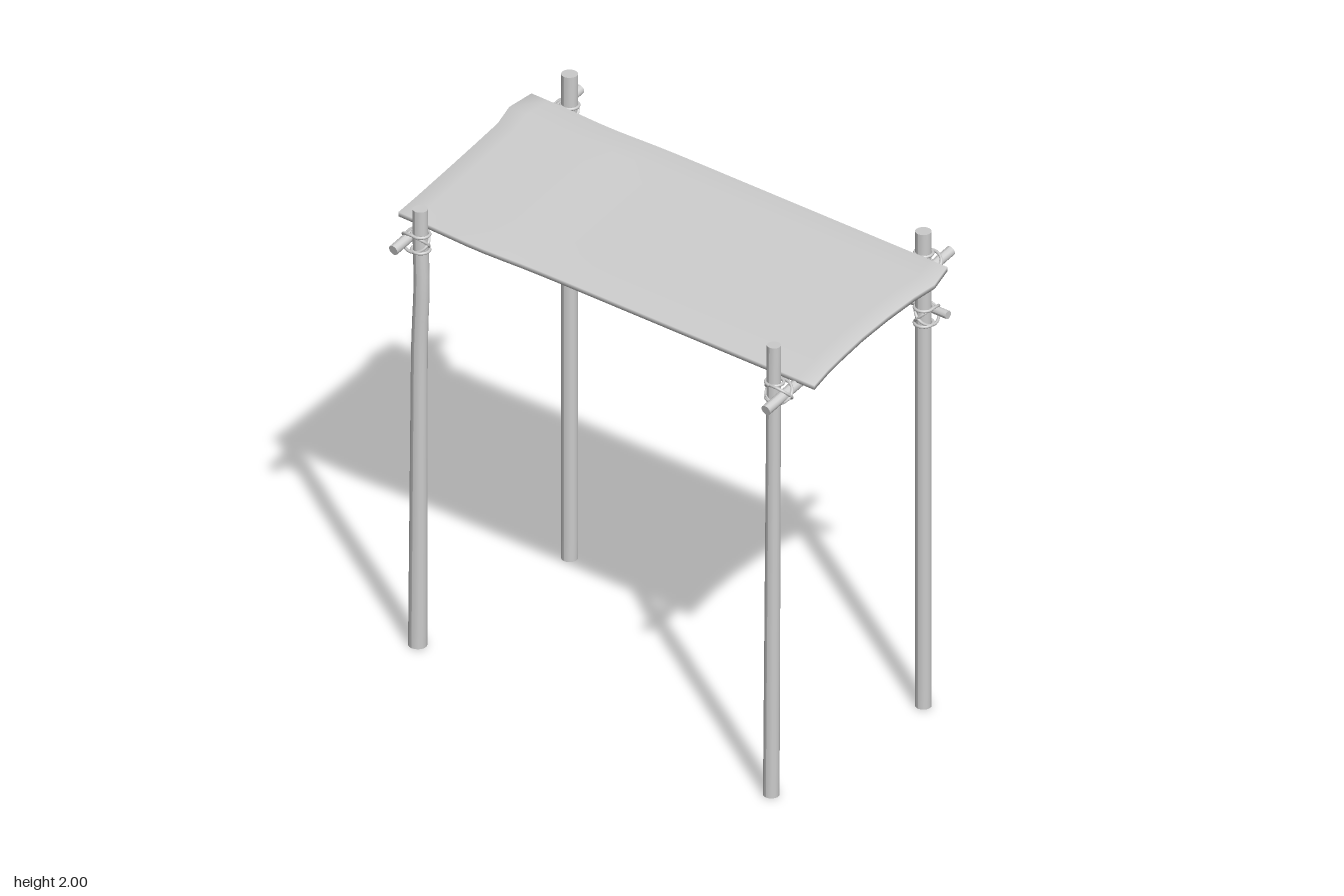
import * as THREE from 'three';
import { mergeVertices } from 'three/addons/utils/BufferGeometryUtils.js';

const V = (x, y, z) => new THREE.Vector3(x, y, z);
const material = new THREE.MeshStandardMaterial({ color: 0xcccccc });

function addMesh(parent, name, geometry) {
  const mesh = new THREE.Mesh(geometry, material);
  mesh.name = name;
  parent.add(mesh);
  return mesh;
}

// A tapered pole between two points; bend(t) gives a sideways offset along it.
function pole(a, b, r0, r1, bend = () => V(0, 0, 0)) {
  const dir = b.clone().sub(a);
  const length = dir.length();
  const geo = new THREE.CylinderGeometry(r1, r0, length, 16, 20);
  geo.translate(0, length / 2, 0);
  const turn = new THREE.Quaternion().setFromUnitVectors(V(0, 1, 0), dir.normalize());
  const pos = geo.attributes.position, p = V(0, 0, 0);
  for (let i = 0; i < pos.count; i++) {
    p.fromBufferAttribute(pos, i);
    const t = p.y / length;
    p.applyQuaternion(turn).add(a).add(bend(t));
    pos.setXYZ(i, p.x, p.y, p.z);
  }
  geo.computeVertexNormals();
  return geo;
}

// Rope around a post and a bar: rings on the post, crossed loops round both.
// The group's local +x points from the post to the bar.
function lashing(postRadius, barRadius) {
  const group = new THREE.Group();
  group.name = 'lashing';
  const rope = 0.006;
  for (const y of [-0.032, 0.032]) {
    const ring = addMesh(group, 'postRing', new THREE.TorusGeometry(postRadius + 0.003, rope, 8, 24));
    ring.rotation.x = Math.PI / 2;
    ring.position.y = y;
  }
  const reach = postRadius + barRadius + 0.003;
  for (const side of [-1, 1]) {
    const points = [];
    for (let i = 0; i < 20; i++) {
      const a = (i / 20) * Math.PI * 2;
      const w = 0.034 * Math.sin(a);
      points.push(V(barRadius + reach * Math.cos(a), w, side * w));
    }
    addMesh(group, 'crossLoop', new THREE.TubeGeometry(new THREE.CatmullRomCurve3(points, true), 40, rope, 6, true));
  }
  return group;
}

// Thin cloth slab with wavy edges, sloping down to the front.
function clothGeometry() {
  const zRows = [-0.37, -0.27, -0.18, -0.05, 0.08, 0.19, 0.28, 0.37];
  const leftEdge = [0.975, 1.0, 0.98, 0.965, 0.958, 0.96, 0.965, 0.975];
  const rightEdge = [0.98, 1.0, 0.978, 0.976, 0.975, 0.975, 0.975, 0.98];
  const rows = zRows.length - 1;
  let geo = new THREE.BoxGeometry(2, 0.018, rows, 24, 1, rows);
  geo.deleteAttribute('normal');
  geo.deleteAttribute('uv');
  geo = mergeVertices(geo);
  const pos = geo.attributes.position;
  for (let i = 0; i < pos.count; i++) {
    const u = pos.getX(i);
    const row = Math.round(pos.getZ(i) + rows / 2);
    const x = u * (u > 0 ? leftEdge : rightEdge)[row];
    const ripple = 0.01 * Math.exp(-(((x + 0.6) / 0.18) ** 2));
    const z = zRows[row] + ripple;
    const rim = row === 0 || row === rows ? -0.003 : 0;
    pos.setXYZ(i, x, 1.791 - 0.228 * zRows[row] + pos.getY(i) + rim, z);
  }
  geo.computeVertexNormals();
  return geo;
}

export function createModel() {
  const model = new THREE.Group();
  model.name = 'awningShelter';

  // Upright posts
  const bump = (t) => Math.exp(-(((t - 0.83) / 0.09) ** 2));
  addMesh(model, 'frontRightPost', pole(V(-0.843, 0, 0.425), V(-0.836, 1.8, 0.42), 0.035, 0.028,
    (t) => V(0.009 * bump(t), 0, 0)));
  addMesh(model, 'frontLeftPost', pole(V(0.83, 0, 0.438), V(0.83, 1.85, 0.423), 0.03, 0.026));
  addMesh(model, 'backRightPost', pole(V(-0.833, 0, -0.408), V(-0.833, 2, -0.408), 0.031, 0.031));
  addMesh(model, 'backLeftPost', pole(V(0.83, 0, -0.408), V(0.83, 1.96, -0.408), 0.03, 0.03));

  // Sloping side rails
  const railY = (z) => 1.755 - 0.2075 * z;
  const rail = (x, front, back) => pole(V(x, railY(front), front), V(x, railY(back), back), 0.02, 0.019);
  addMesh(model, 'leftRail', rail(0.882, 0.53, -0.5));
  addMesh(model, 'rightRail', rail(-0.886, 0.51, -0.53));

  // Sagging bar across the back
  addMesh(model, 'backBar', pole(V(-0.91, 1.615, -0.463), V(0.9, 1.615, -0.463), 0.018, 0.016,
    (t) => V(0, -0.015 * Math.exp(-(((t - 0.54) / 0.2) ** 2)), 0)));

  // Cloth roof
  addMesh(model, 'clothRoof', clothGeometry());

  // Rope lashings at every joint
  for (const side of [-1, 1]) {
    for (const z of [0.422, -0.408]) {
      const railJoint = lashing(0.03, 0.021);
      railJoint.position.set(side * 0.832, railY(z), z);
      railJoint.rotation.y = side > 0 ? 0 : Math.PI;
      model.add(railJoint);
    }
    const barJoint = lashing(0.031, 0.018);
    barJoint.position.set(side * 0.832, 1.615, -0.408);
    barJoint.rotation.y = Math.PI / 2;
    model.add(barJoint);
  }
  return model;
}
